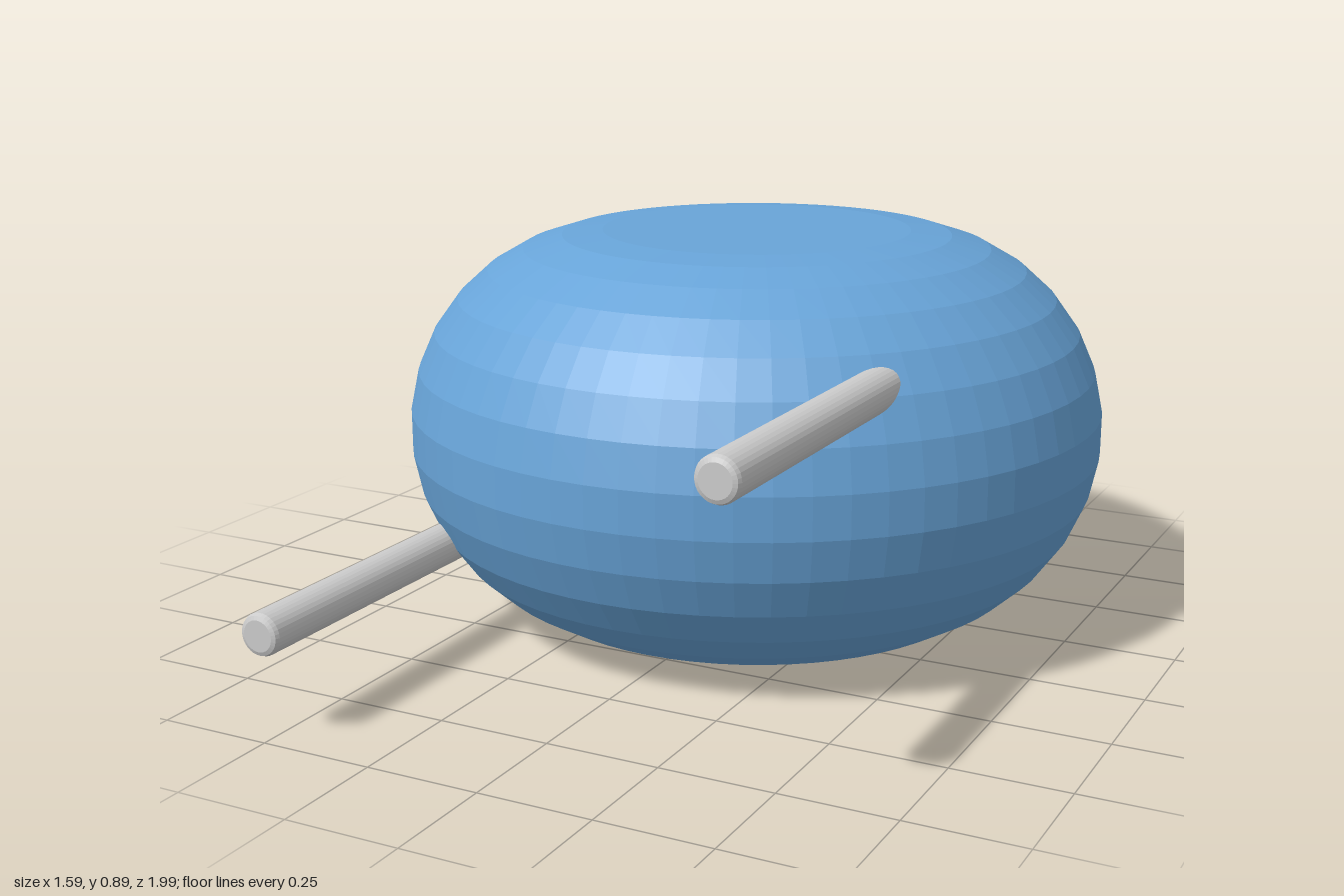
import * as THREE from 'three';

const bodyMaterial = new THREE.MeshStandardMaterial({ color: 0x68a4d8, flatShading: true });
const rodMaterial = new THREE.MeshStandardMaterial({ color: 0xcccccc, flatShading: true });

// Flattened round body: flat discs joined by a half-round rim
function createBody() {
  const flat = 0.35, rim = 0.445, steps = 15;
  const profile = [new THREE.Vector2(0, 0)];
  for (let i = 0; i <= steps; i++) {
    const a = -Math.PI / 2 + (Math.PI * i) / steps;
    profile.push(new THREE.Vector2(flat + rim * Math.cos(a), rim + rim * Math.sin(a)));
  }
  profile.push(new THREE.Vector2(0, rim * 2));
  const body = new THREE.Mesh(new THREE.LatheGeometry(profile, 64), bodyMaterial);
  body.name = 'body';
  body.position.z = -0.2;
  return body;
}

// Straight round rod with softened ends, pointing forward
function createRod(name, x, y) {
  const r = 0.045, back = 0.1, front = 1, bevel = 0.012;
  const length = front - back;
  const profile = [
    [0, 0], [r - bevel, 0], [r - bevel * 0.3, bevel * 0.3], [r, bevel],
    [r, length - bevel], [r - bevel * 0.3, length - bevel * 0.3], [r - bevel, length], [0, length],
  ].map(([px, py]) => new THREE.Vector2(px, py));
  const geometry = new THREE.LatheGeometry(profile, 32);
  geometry.rotateX(Math.PI / 2);
  const rod = new THREE.Mesh(geometry, rodMaterial);
  rod.name = name;
  rod.position.set(x, y, back);
  return rod;
}

export function createModel() {
  const model = new THREE.Group();
  model.name = 'bodyWithRods';
  model.add(
    createBody(),
    createRod('upperLeftRod', 0.5, 0.675),
    createRod('lowerRightRod', -0.5, 0.225),
  );
  return model;
}
